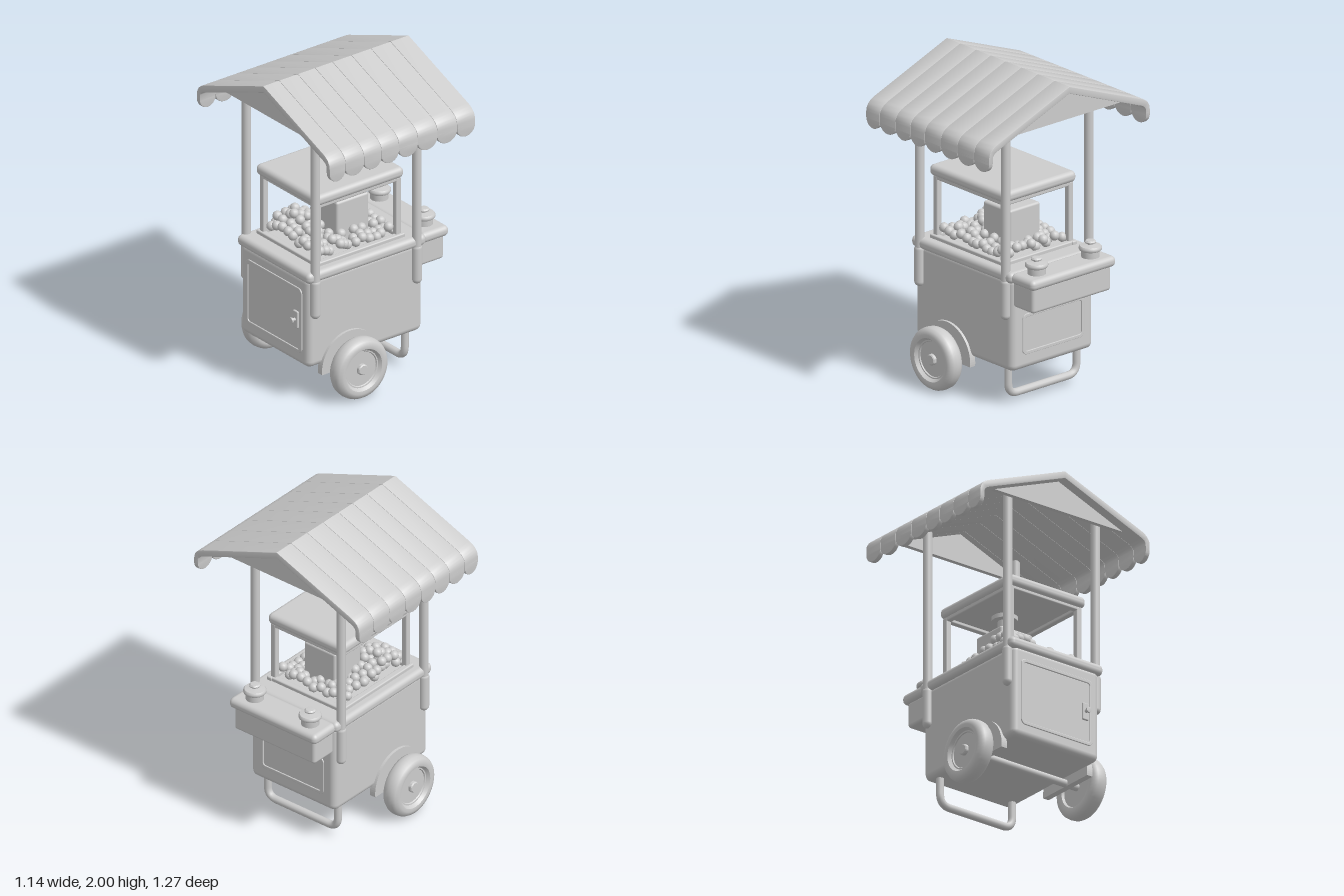
import * as THREE from 'three';
import { toCreasedNormals } from 'three/addons/utils/BufferGeometryUtils.js';
import { RoundedBoxGeometry } from 'three/addons/geometries/RoundedBoxGeometry.js';

const clay = new THREE.MeshStandardMaterial({ color: 0xcccccc });
clay.name = 'light grey';

export function createModel() {
  const model = new THREE.Group();
  model.name = 'foodCart';

  const add = (name, geometry, x = 0, y = 0, z = 0, parent = model) => {
    const mesh = new THREE.Mesh(geometry, clay);
    mesh.name = name;
    mesh.position.set(x, y, z);
    parent.add(mesh);
    return mesh;
  };
  // Rounded box given by its limits on each axis
  const box = (name, [x0, x1], [y0, y1], [z0, z1], r = 0.01) =>
    add(name, new RoundedBoxGeometry(x1 - x0, y1 - y0, z1 - z0, 3, r),
      (x0 + x1) / 2, (y0 + y1) / 2, (z0 + z1) / 2);
  const lathe = (points, segments = 32) =>
    toCreasedNormals(new THREE.LatheGeometry(points.map(p => new THREE.Vector2(...p)), segments), 0.7);
  const roundRect = (P, w, h, r) => {
    const s = new P(), a = w / 2 - r, b = h / 2 - r;
    s.absarc(a, b, r, 0, Math.PI / 2);
    s.absarc(-a, b, r, Math.PI / 2, Math.PI);
    s.absarc(-a, -b, r, Math.PI, Math.PI * 1.5);
    s.absarc(a, -b, r, Math.PI * 1.5, Math.PI * 2);
    s.closePath();
    return s;
  };

  // Cabinet, counter and serving shelf
  box('cabinet', [-0.49, 0.37], [0.23, 0.82], [-0.325, 0.325], 0.04);
  box('counter', [-0.505, 0.385], [0.795, 0.865], [-0.348, 0.348], 0.03);
  box('shelfTop', [0.36, 0.565], [0.795, 0.862], [-0.335, 0.335], 0.03);
  box('shelfBox', [0.36, 0.54], [0.645, 0.81], [-0.31, 0.31], 0.02);

  // Framed panels on the two ends of the cabinet
  const panel = (name, side, x, y, w, h) => {
    const rim = roundRect(THREE.Shape, w, h, 0.03);
    rim.holes.push(roundRect(THREE.Path, w - 0.03, h - 0.03, 0.02));
    const g = new THREE.ExtrudeGeometry(rim, {
      depth: 0.008, bevelSize: 0.003, bevelThickness: 0.003, bevelSegments: 2, curveSegments: 6 });
    add(name, g, x, y, 0).rotation.y = side * Math.PI / 2;
  };
  panel('sidePanelFrame', 1, 0.366, 0.453, 0.48, 0.25);
  panel('doorFrame', -1, -0.486, 0.525, 0.53, 0.42);
  box('latchPlate', [-0.502, -0.485], [0.47, 0.58], [0.19, 0.235], 0.006);
  const knob = add('latchKnob', lathe([[0, 0], [0.01, 0], [0.01, 0.018], [0.018, 0.022], [0.018, 0.034], [0, 0.036]], 16),
    -0.5, 0.525, 0.212);
  knob.rotation.z = Math.PI / 2;

  // Wheels, mudguards and axle
  const tyre = [[0, -0.035], [0.12, -0.035], [0.128, -0.05], [0.155, -0.055], [0.18, -0.045], [0.192, -0.025],
    [0.195, 0], [0.192, 0.025], [0.18, 0.045], [0.155, 0.055], [0.135, 0.052], [0.126, 0.04],
    [0.12, 0.032], [0.112, 0.032], [0.108, 0.025], [0.034, 0.025], [0.034, 0.042], [0.028, 0.048], [0, 0.048]];
  for (const s of [1, -1]) {
    const side = s > 0 ? 'front' : 'back';
    add(side + 'Wheel', lathe(tyre, 48), -0.19, 0.195, s * 0.425).rotation.x = s * Math.PI / 2;
    const guard = new THREE.Shape();
    guard.absarc(0, 0, 0.21, -0.1, Math.PI + 0.1);
    guard.closePath();
    add(side + 'Mudguard', new THREE.ExtrudeGeometry(guard, { depth: 0.04, bevelEnabled: false, curveSegments: 24 }),
      -0.19, 0.195, s > 0 ? 0.302 : -0.342);
  }
  add('axle', new THREE.CylinderGeometry(0.024, 0.024, 0.8, 16), -0.19, 0.195, 0).rotation.x = Math.PI / 2;

  // Bent tube stand
  const stand = new THREE.CurvePath();
  const V = (y, z) => new THREE.Vector3(0.276, y, z);
  stand.add(new THREE.LineCurve3(V(0.26, 0.27), V(0.13, 0.27)));
  stand.add(new THREE.QuadraticBezierCurve3(V(0.13, 0.27), V(0.06, 0.27), V(0.06, 0.2)));
  stand.add(new THREE.LineCurve3(V(0.06, 0.2), V(0.06, -0.2)));
  stand.add(new THREE.QuadraticBezierCurve3(V(0.06, -0.2), V(0.06, -0.27), V(0.13, -0.27)));
  stand.add(new THREE.LineCurve3(V(0.13, -0.27), V(0.26, -0.27)));
  add('stand', new THREE.TubeGeometry(stand, 60, 0.024, 12));

  // Canopy posts with round-ended sleeves
  for (const x of [-0.442, 0.319]) for (const z of [-0.33, 0.33]) {
    add('canopyPost', new THREE.CylinderGeometry(0.028, 0.028, 1.06, 16), x, 1.3, z);
    add('postSleeve', new THREE.CapsuleGeometry(0.032, 0.2, 6, 16), x, 0.69, z);
  }

  // Display case
  const cx = -0.07;
  box('caseRoof', [-0.41, 0.262], [1.255, 1.325], [-0.29, 0.29], 0.03);
  for (const s of [1, -1]) {
    box('caseBaseRail', [-0.4, 0.265], [0.855, 0.888], [s * 0.27 - 0.02, s * 0.27 + 0.02], 0.008);
    box('caseTopRail', [-0.385, 0.245], [1.235, 1.265], [s * 0.255 - 0.018, s * 0.255 + 0.018], 0.008);
    const bx = cx + s * 0.31, tx = cx + s * 0.298;
    box('caseBaseRail', [bx - 0.02, bx + 0.02], [0.855, 0.888], [-0.29, 0.29], 0.008);
    box('caseTopRail', [tx - 0.018, tx + 0.018], [1.235, 1.265], [-0.27, 0.27], 0.008);
    for (const z of [-0.255, 0.255])
      box('casePost', [tx - 0.019, tx + 0.019], [0.87, 1.26], [z - 0.019, z + 0.019], 0.008);
  }

  // Popper hanging from the case roof
  box('popper', [-0.115, 0.125], [0.86, 1.135], [-0.12, 0.12], 0.015);
  add('popperStem', new THREE.CylinderGeometry(0.042, 0.042, 0.13, 20), 0.003, 1.185, 0);
  add('popperCollar', new THREE.CylinderGeometry(0.08, 0.08, 0.03, 24), 0.003, 1.243, 0);

  // Popcorn, heaped in the back corner
  const popcorn = new THREE.Group();
  popcorn.name = 'popcorn';
  model.add(popcorn);
  const kernel = new THREE.SphereGeometry(0.03, 12, 8);
  let seed = 7;
  const rand = () => (seed = (seed * 16807) % 2147483647) / 2147483647 - 0.5;
  for (let i = 0; i < 12; i++) for (let j = 0; j < 10; j++) {
    const x = -0.335 + i * 0.048 + rand() * 0.03, z = -0.22 + j * 0.049 + rand() * 0.03;
    if (Math.abs(x) < 0.12 && Math.abs(z) < 0.12) continue;
    const heap = 0.09 * Math.exp(-((x + 0.22) ** 2 + (z + 0.15) ** 2) / 0.014);
    const y = 0.9 + heap + (rand() + 0.4) * 0.04;
    add('kernel', kernel, x, y, z, popcorn);
    if (heap > 0.03) add('kernel', kernel, x + rand() * 0.03, y - 0.045, z + rand() * 0.03, popcorn);
  }

  // Lidded jars on the shelf
  const jar = lathe([[0, 0], [0.055, 0], [0.055, 0.045], [0.064, 0.046], [0.069, 0.053], [0.069, 0.065], [0.062, 0.074],
    [0.018, 0.08], [0.018, 0.085], [0.032, 0.09], [0.034, 0.098], [0.026, 0.106], [0, 0.108]], 28);
  for (const z of [0.213, -0.213]) add('jar', jar, 0.463, 0.858, z);

  // Canopy: bent strips, each ending in a scallop on both eaves
  const roof = new THREE.Shape();
  roof.moveTo(0, 1.996);
  roof.lineTo(0.57, 1.776);
  roof.quadraticCurveTo(0.633, 1.75, 0.633, 1.7);
  roof.lineTo(0.633, 1.665);
  roof.lineTo(0.61, 1.665);
  roof.lineTo(0.608, 1.705);
  roof.quadraticCurveTo(0.6, 1.73, 0.56, 1.742);
  roof.lineTo(0, 1.96);
  roof.lineTo(-0.56, 1.742);
  roof.quadraticCurveTo(-0.6, 1.73, -0.608, 1.705);
  roof.lineTo(-0.61, 1.665);
  roof.lineTo(-0.633, 1.665);
  roof.lineTo(-0.633, 1.7);
  roof.quadraticCurveTo(-0.633, 1.75, -0.57, 1.776);
  roof.closePath();
  const b = 0.004;
  const bevel = { bevelSize: b, bevelThickness: b, bevelSegments: 2 };
  const edges = [-0.573, -0.453, -0.314, -0.183, -0.053, 0.089, 0.235, 0.382, 0.517];
  for (let i = 0; i < 8; i++) {
    const w = edges[i + 1] - edges[i], mid = (edges[i] + edges[i + 1]) / 2;
    const strip = new THREE.ExtrudeGeometry(roof, { depth: w - 2 * b, curveSegments: 6, ...bevel });
    strip.rotateY(Math.PI / 2);
    add('canopyStrip', toCreasedNormals(strip, 0.6), edges[i] + b);
    const lobe = new THREE.Shape();
    lobe.moveTo(w / 2 - b, 1.68);
    lobe.lineTo(-w / 2 + b, 1.68);
    lobe.absellipse(0, 1.668, w / 2 - b, 0.059, Math.PI, Math.PI * 2);
    lobe.closePath();
    const g = toCreasedNormals(new THREE.ExtrudeGeometry(lobe, { depth: 0.023, curveSegments: 12, ...bevel }), 0.6);
    add('frontScallop', g, mid, 0, 0.61);
    add('backScallop', g, mid, 0, -0.633);
  }

  // Gable boards under the canopy
  const gable = new THREE.Shape();
  gable.moveTo(-0.5, 1.768);
  gable.lineTo(0.5, 1.768);
  gable.lineTo(0, 1.965);
  gable.closePath();
  const board = new THREE.ExtrudeGeometry(gable, { depth: 0.03, bevelEnabled: false });
  board.rotateY(Math.PI / 2);
  add('rightGable', board, -0.51);
  add('leftGable', board, 0.425);

  return model;
}
